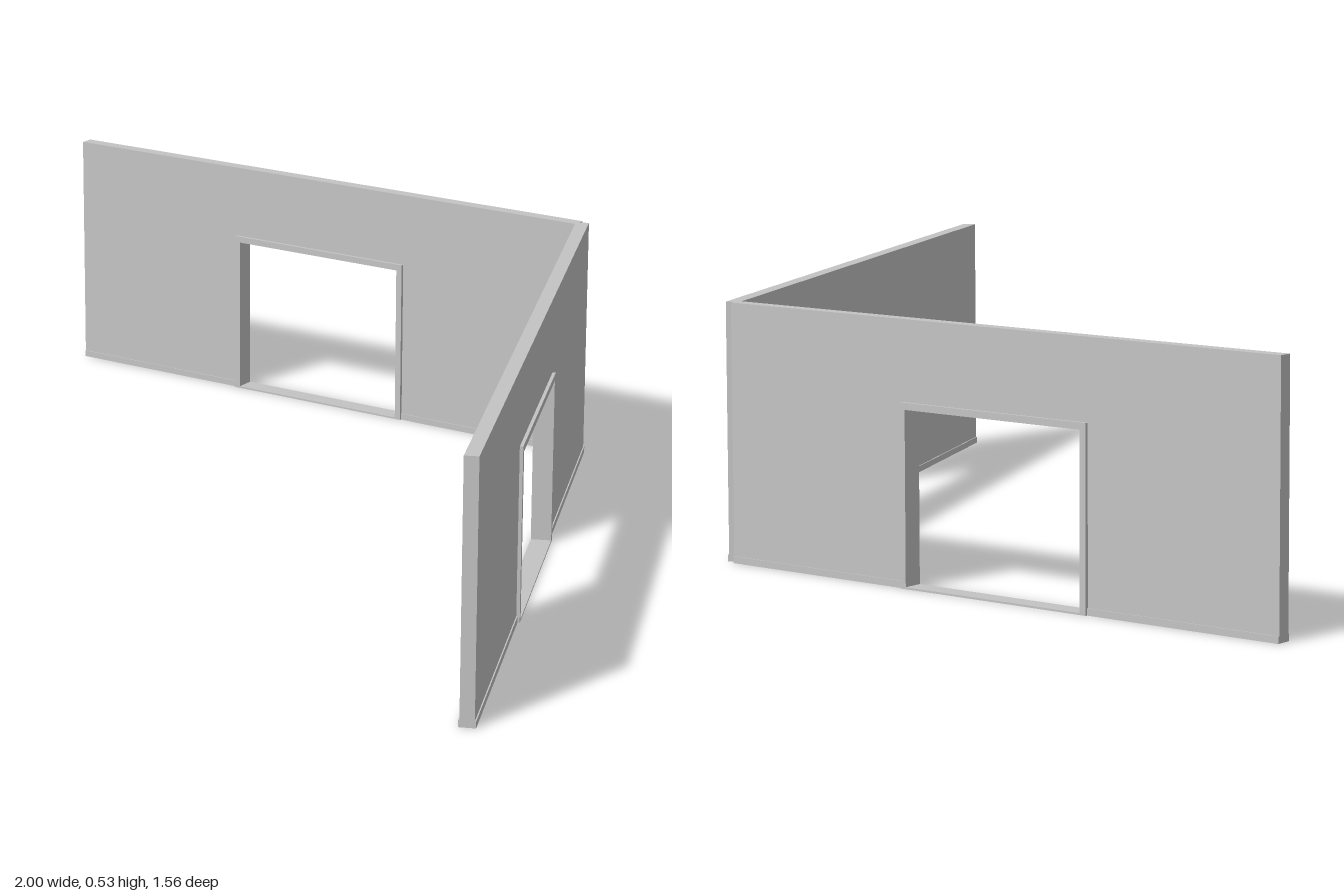
import * as THREE from 'three';

const HEIGHT = 0.532, THICK = 0.029;
const DOOR_H = 0.355, TRIM = 0.014, TRIM_DEPTH = 0.043;
const BASE_H = 0.014, BASE_DEPTH = 0.034, SILL_H = 0.004;

const grey = new THREE.MeshStandardMaterial({ color: 0xc4c4c4 });
grey.name = 'plain grey';

function box(name, x0, x1, y0, y1, depth) {
  const mesh = new THREE.Mesh(new THREE.BoxGeometry(x1 - x0, y1 - y0, depth), grey);
  mesh.position.set((x0 + x1) / 2, (y0 + y1) / 2, 0);
  mesh.name = name;
  return mesh;
}

// Outline of an upside-down U, extruded and centred on its depth
function arch(name, outer, outerTop, inner, innerTop, depth) {
  const shape = new THREE.Shape([
    [outer[0], 0], [inner[0], 0], [inner[0], innerTop], [inner[1], innerTop],
    [inner[1], 0], [outer[1], 0], [outer[1], outerTop], [outer[0], outerTop],
  ].map(([x, y]) => new THREE.Vector2(x, y)));
  const geometry = new THREE.ExtrudeGeometry(shape, { depth, bevelEnabled: false });
  geometry.translate(0, 0, -depth / 2);
  const mesh = new THREE.Mesh(geometry, grey);
  mesh.name = name;
  return mesh;
}

// Straight wall along local x with one framed doorway
function wall(name, length, doorCentre, doorWidth) {
  const group = new THREE.Group();
  group.name = name;
  const end = length / 2;
  const a = doorCentre - doorWidth / 2, b = doorCentre + doorWidth / 2;
  group.add(
    arch('wallPanel', [-end, end], HEIGHT, [a - TRIM / 2, b + TRIM / 2], DOOR_H + TRIM / 2, THICK),
    arch('doorFrame', [a - TRIM, b + TRIM], DOOR_H + TRIM, [a, b], DOOR_H, TRIM_DEPTH),
    box('threshold', a, b, 0, SILL_H, TRIM_DEPTH),
    box('baseboard', -end, a - TRIM, 0, BASE_H, BASE_DEPTH),
    box('baseboard', b + TRIM, end, 0, BASE_H, BASE_DEPTH),
  );
  return group;
}

export function createModel() {
  const model = new THREE.Group();
  model.name = 'angledWalls';

  const backWall = wall('backWall', 1.345, -0.0025, 0.43);
  backWall.position.set(-0.3275, 0, -0.757);

  const sideWall = wall('sideWall', 1.66, 0.018, 0.472);
  sideWall.position.set(0.668, 0, 0.006);
  sideWall.rotation.y = -THREE.MathUtils.degToRad(67.5);

  model.add(backWall, sideWall);
  return model;
}
